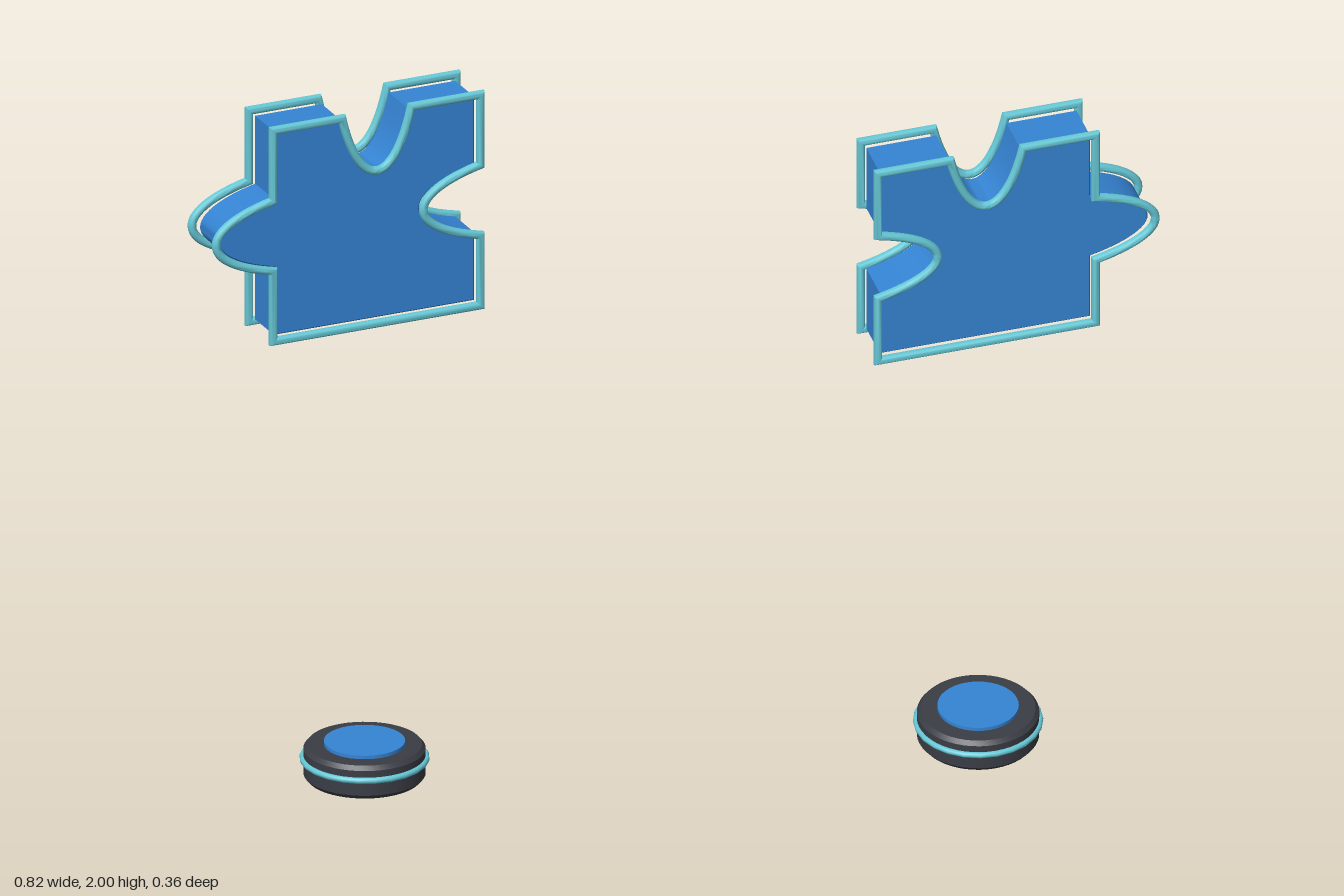
import * as THREE from 'three';
import { toCreasedNormals } from 'three/addons/utils/BufferGeometryUtils.js';

const CX = 0.085, CY = 1.677;            // centre of the floating piece
const HALF = 0.3, NECK = 0.1, BULGE = 0.22, PULL = 0.05;

// Square outline with a tab on one side and two sockets
function pieceShape(scale) {
  const h = HALF * scale, n = NECK * scale, b = BULGE * scale, p = PULL * scale;
  const s = new THREE.Shape();
  s.moveTo(-h, -h);
  s.lineTo(h, -h);
  s.lineTo(h, -n);
  s.bezierCurveTo(h - b, -p, h - b, p, h, n);
  s.lineTo(h, h);
  s.lineTo(n, h);
  s.bezierCurveTo(p, h - b, -p, h - b, -n, h);
  s.lineTo(-h, h);
  s.lineTo(-h, n);
  s.bezierCurveTo(-h - b, p, -h - b, -p, -h, -n);
  s.closePath();
  return s;
}

// Round bar swept along a closed flat outline with mitred corners
function mitredTube(points, radius, sides) {
  const pos = [], index = [], count = points.length;
  points.forEach((p, i) => {
    const d0 = p.clone().sub(points[(i + count - 1) % count]).normalize();
    const d1 = points[(i + 1) % count].clone().sub(p).normalize();
    const n = new THREE.Vector2(d0.y + d1.y, -d0.x - d1.x).normalize();
    const miter = radius / Math.max(0.5, n.x * d1.y - n.y * d1.x);
    for (let j = 0; j < sides; j++) {
      const a = (j / sides) * Math.PI * 2;
      const r = Math.cos(a) * miter;
      pos.push(p.x + n.x * r, p.y + n.y * r, Math.sin(a) * radius);
      const k = (j + 1) % sides, next = (i + 1) % count;
      const A = i * sides + j, B = i * sides + k, C = next * sides + k, D = next * sides + j;
      index.push(A, D, C, A, C, B);
    }
  });
  const g = new THREE.BufferGeometry();
  g.setAttribute('position', new THREE.Float32BufferAttribute(pos, 3));
  g.setIndex(index);
  return toCreasedNormals(g, 0.8);
}

export function createModel() {
  const blue = new THREE.MeshStandardMaterial({ name: 'blue', color: 0x3584d4 });
  const teal = new THREE.MeshStandardMaterial({ name: 'teal', color: 0x66c8d6 });
  const dark = new THREE.MeshStandardMaterial({ name: 'charcoal', color: 0x3a3d45 });

  const model = new THREE.Group();
  const add = (name, geometry, material, x, y, z, parent) => {
    const mesh = new THREE.Mesh(geometry, material);
    mesh.name = name;
    mesh.position.set(x, y, z);
    parent.add(mesh);
    return mesh;
  };

  // Floating puzzle piece
  const piece = new THREE.Group();
  piece.name = 'puzzlePiece';
  piece.position.set(CX, CY, 0);
  model.add(piece);

  const bevel = 0.004, depth = 0.13;
  const body = new THREE.ExtrudeGeometry(pieceShape(1), {
    depth: depth - 2 * bevel, curveSegments: 24, bevelEnabled: true,
    bevelThickness: bevel, bevelSize: bevel, bevelOffset: -bevel, bevelSegments: 1,
  });
  body.translate(0, 0, bevel - depth / 2);
  add('pieceBody', toCreasedNormals(body, 0.5), blue, 0, 0, 0, piece);

  // Outline bars in front of and behind the piece
  const outline = pieceShape(1.035).getPoints(24);
  if (outline[0].distanceTo(outline[outline.length - 1]) < 1e-6) outline.pop();
  const bar = mitredTube(outline, 0.012, 12);
  add('frontOutline', bar, teal, 0, 0, 0.079, piece);
  add('backOutline', bar, teal, 0, 0, -0.079, piece);

  // Round base puck
  const base = new THREE.Group();
  base.name = 'base';
  base.position.set(CX, 0, 0);
  model.add(base);

  const profile = [[0, 0], [0.157, 0], [0.167, 0.012], [0.167, 0.085], [0.157, 0.097], [0, 0.097]]
    .map(([x, y]) => new THREE.Vector2(x, y));
  add('basePuck', toCreasedNormals(new THREE.LatheGeometry(profile, 48), 0.5), dark, 0, 0, 0, base);
  const ring = add('baseRing', new THREE.TorusGeometry(0.169, 0.009, 10, 24), teal, 0, 0.057, 0, base);
  ring.rotation.x = Math.PI / 2;
  add('baseLight', new THREE.CylinderGeometry(0.111, 0.111, 0.012, 40), blue, 0, 0.101, 0, base);

  return model;
}
